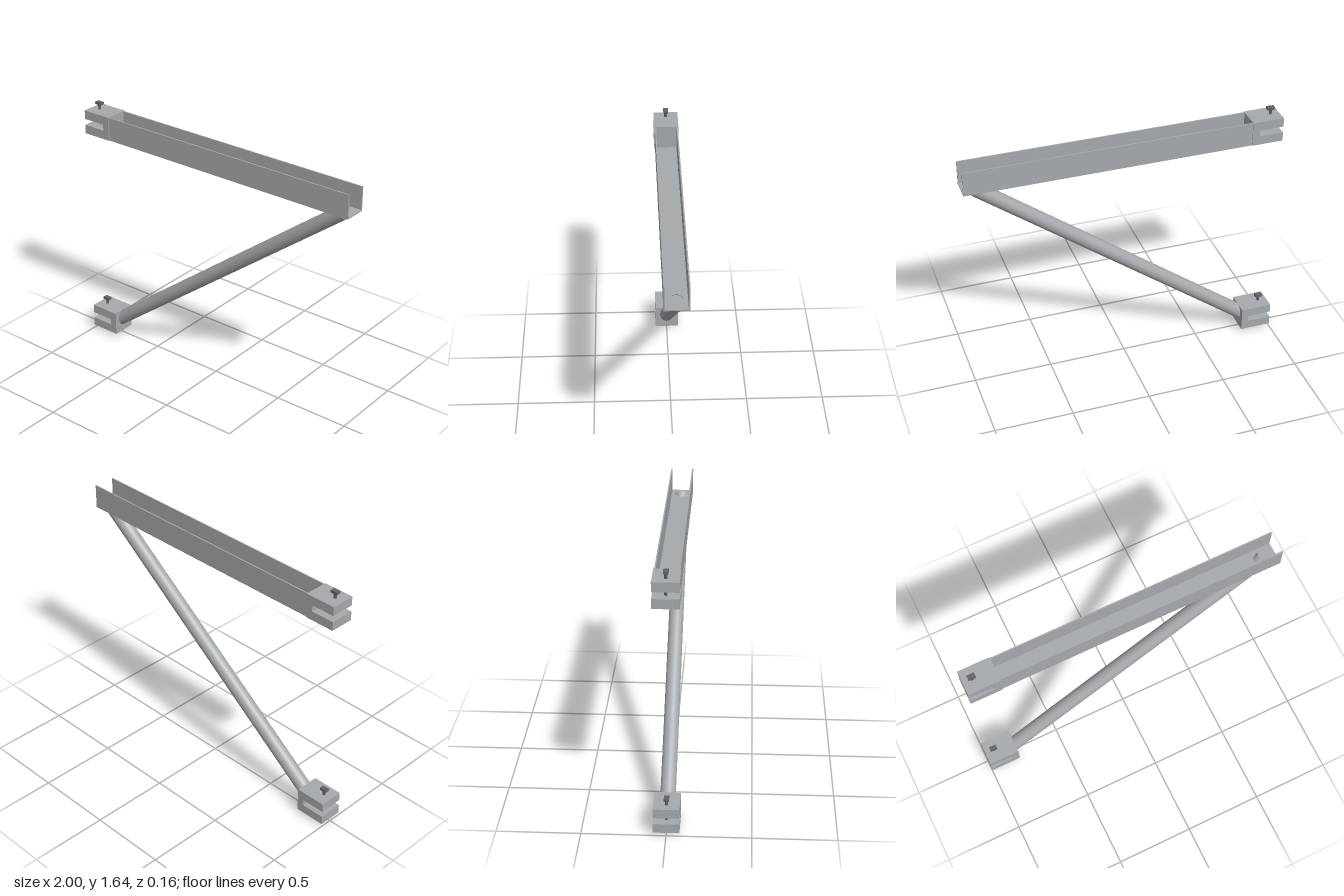
import * as THREE from 'three';

export function createModel() {
  const model = new THREE.Group();
  model.name = 'bracket';
  const steel = new THREE.MeshStandardMaterial({ color: 0xa6a9ac });
  steel.name = 'steel grey';
  const tubeSteel = new THREE.MeshStandardMaterial({ color: 0xa6a9ac, side: THREE.DoubleSide });
  tubeSteel.name = 'tube steel grey';
  const dark = new THREE.MeshStandardMaterial({ color: 0x606265 });
  dark.name = 'dark bolt grey';

  const add = (parent, name, geometry, material, x = 0, y = 0, z = 0) => {
    const mesh = new THREE.Mesh(geometry, material);
    mesh.name = name;
    mesh.position.set(x, y, z);
    parent.add(mesh);
    return mesh;
  };
  const outline = (points) => new THREE.Shape(points.map(([x, y]) => new THREE.Vector2(x, y)));

  // Slotted clamp block with its bolt; y is the underside of the block
  const addClamp = (name, y) => {
    const clamp = new THREE.Group();
    clamp.name = name;
    clamp.position.y = y;
    model.add(clamp);

    const jaw = outline([
      [-1, 0], [-0.8, 0], [-0.8, 0.156], [-1, 0.156],
      [-1, 0.098], [-0.845, 0.098], [-0.845, 0.058], [-1, 0.058],
    ]);
    const block = new THREE.ExtrudeGeometry(jaw, { depth: 0.156, bevelEnabled: false });
    add(clamp, 'clampBlock', block, steel, 0, 0, -0.078);

    // Bolt: flat head, flared neck and shank through both jaws
    add(clamp, 'boltHead', new THREE.BoxGeometry(0.046, 0.016, 0.03), dark, -0.942, 0.197);
    add(clamp, 'boltNeck', new THREE.CylinderGeometry(0.014, 0.01, 0.012, 16), dark, -0.942, 0.183);
    add(clamp, 'boltShank', new THREE.CylinderGeometry(0.009, 0.009, 0.21, 16), dark, -0.942, 0.085);
  };
  addClamp('lowerClamp', 0.02);
  addClamp('upperClamp', 1.44);

  // Upward-open channel beam, extruded along x
  const w = 0.073, t = 0.008, h = 0.154;
  const channel = outline([
    [-w, 0], [w, 0], [w, h], [w - t, h], [w - t, t], [-w + t, t], [-w + t, h], [-w, h],
  ]);
  const beam = new THREE.ExtrudeGeometry(channel, { depth: 1.8, bevelEnabled: false });
  beam.rotateY(Math.PI / 2);
  add(model, 'channelBeam', beam, steel, -0.8, 1.44);

  // Diagonal tube from the lower clamp through the channel floor
  const start = new THREE.Vector3(-0.828, 0.1, 0);
  const end = new THREE.Vector3(0.922, 1.438, 0);
  const axis = end.clone().sub(start);
  const tube = add(model, 'diagonalTube',
    new THREE.CylinderGeometry(0.046, 0.046, axis.length(), 40, 1, true), tubeSteel);
  tube.position.copy(start).add(end).multiplyScalar(0.5);
  tube.quaternion.setFromUnitVectors(new THREE.Vector3(0, 1, 0), axis.normalize());

  return model;
}
